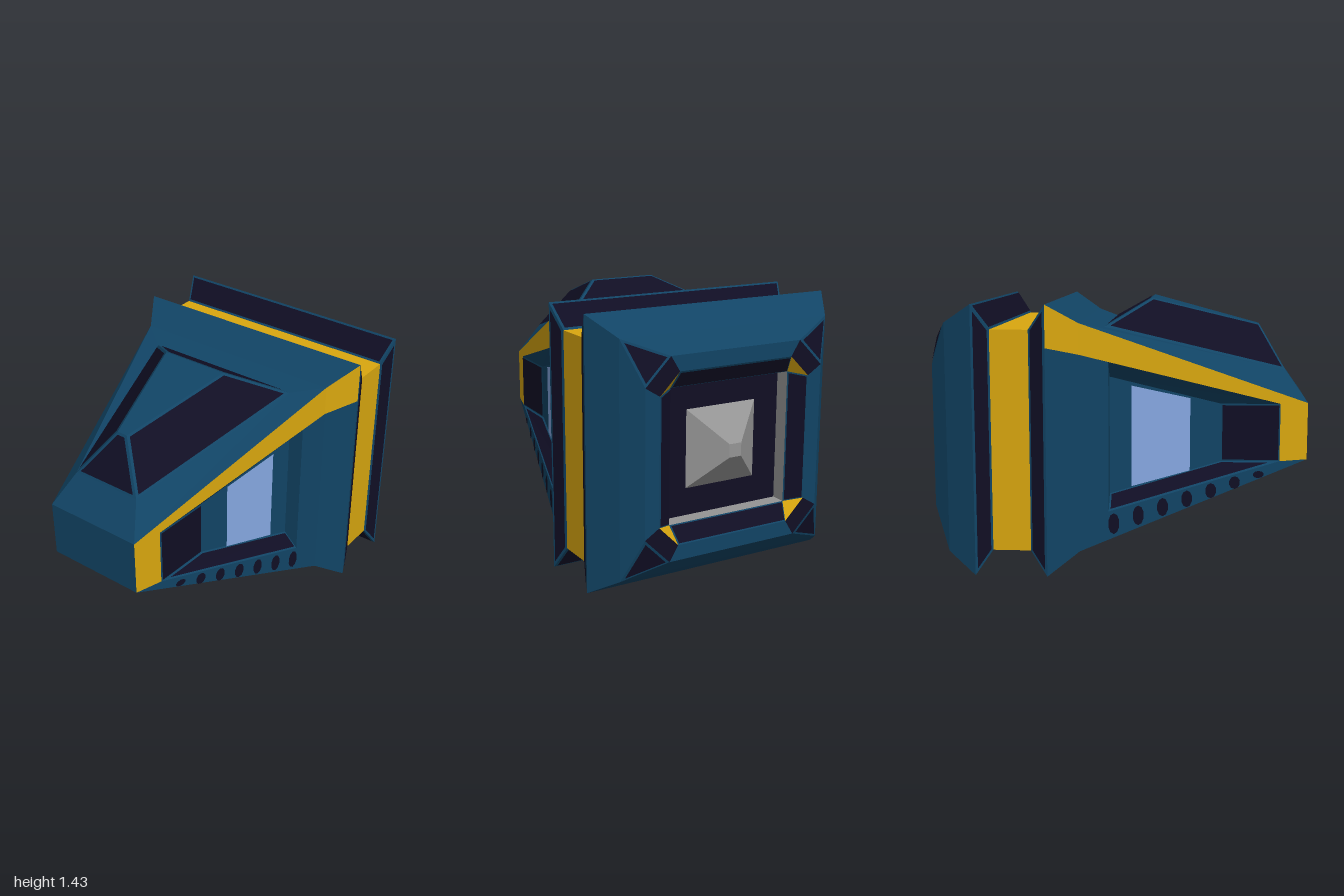
import * as THREE from 'three';

const mat = (name, color) => new THREE.MeshStandardMaterial({ name, color, flatShading: true });
const CY = 0.71; // height of the long axis

export function createModel() {
  const blue = mat('hull blue', 0x114465);
  const navy = mat('panel navy', 0x100e24);
  const yellow = mat('trim yellow', 0xd9a70f);
  const glass = mat('window blue', 0x86a8e2);
  const grey = mat('engine grey', 0x959595);
  const model = new THREE.Group();
  const V = (x, y, z) => new THREE.Vector3(x, y, z);

  // Newell normal of a polygon
  const normalOf = (pts) => {
    const n = V(0, 0, 0);
    pts.forEach((p, i) => n.add(p.clone().cross(pts[(i + 1) % pts.length])));
    return n.normalize();
  };

  // Convex polygon turned to face the hint direction
  function poly(name, material, pts, hint) {
    let p = pts.map((q) => V(...q));
    if (normalOf(p).dot(V(...hint)) < 0) p.reverse();
    const pos = [];
    for (let i = 1; i < p.length - 1; i++)
      for (const q of [p[0], p[i], p[i + 1]]) pos.push(q.x, q.y, q.z);
    const g = new THREE.BufferGeometry();
    g.setAttribute('position', new THREE.Float32BufferAttribute(pos, 3));
    g.computeVertexNormals();
    const mesh = new THREE.Mesh(g, material);
    mesh.name = name;
    model.add(mesh);
  }

  // Blue face carrying a slightly raised panel inside an even border
  function panel(name, material, pts, hint, border = 0.014) {
    poly(name + 'Frame', blue, pts, hint);
    const p = pts.map((q) => V(...q));
    const n = normalOf(p);
    if (n.dot(V(...hint)) < 0) n.negate();
    const inner = p.map((v, i) => {
      const a = p[(i + 1) % p.length].clone().sub(v).normalize();
      const b = p[(i + p.length - 1) % p.length].clone().sub(v).normalize();
      const k = border / a.clone().cross(b).length();
      return v.clone().add(a.add(b).multiplyScalar(k)).addScaledVector(n, 0.004).toArray();
    });
    poly(name, material, inner, hint);
  }

  // Hull guide lines
  const zOut = (x) => 0.28 + 0.2686 * (x + 1);
  const zIn = (x) => 0.335 + 0.25 * (x + 0.53);

  for (const s of [1, -1]) {
    const o = (x, y, lift = 0) => [x, y, s * (zOut(x) + lift)];
    const i = (x, y, lift = 0) => [x, y, s * (zIn(x) + lift)];
    const f = (y) => [0.37, y, s * 0.71];
    const out = [0, 0, s];

    // Yellow trim
    poly('noseTrim', yellow, [o(-1, 0.56), o(-0.85, 0.555), o(-0.85, 0.87), o(-1, 0.87)], out);
    poly('sideStripe', yellow, [o(-1, 0.87), o(-0.85, 0.87), o(0.21, 1.157), o(0.21, 1.32)], out);
    poly('flareStripe', yellow, [o(0.21, 1.157), f(1.2), f(1.42), o(0.21, 1.32)], out);

    // Hull side around the recess
    poly('lowerSide', blue, [o(-1, 0.56), o(-0.85, 0.555), o(0.06, 0.32), o(0.06, 0.166)], out);
    poly('rearSide', blue, [o(0.06, 0.166), o(0.21, 0.11), o(0.21, 1.157), o(0.06, 1.116)], out);
    poly('flareSide', blue, [o(0.21, 0.11), f(0), f(1.2), o(0.21, 1.157)], out);

    // Sunken side bay
    panel('bayFrontPanel', navy, [o(-0.85, 0.555), i(-0.53, 0.555), i(-0.53, 0.87), o(-0.85, 0.87)], out, 0.008);
    poly('bayFloor', blue, [i(-0.53, 0.555), i(0.06, 0.4), i(0.06, 1.03), i(-0.53, 0.87)], out);
    poly('bayOverhang', blue, [o(-0.85, 0.87), o(0.06, 1.116), i(0.06, 1.03), i(-0.53, 0.87)], [0, -1, 0]);
    panel('bayLedge', navy, [o(-0.85, 0.555), o(0.06, 0.32), i(0.06, 0.4), i(-0.53, 0.555)], [0, 1, 0], 0.01);
    poly('bayStep', blue, [o(0.06, 0.32), o(0.06, 1.116), i(0.06, 1.03), i(0.06, 0.4)], [-1, 0, 0]);
    poly('window', glass, [i(-0.365, 0.51, 0.005), i(-0.055, 0.435, 0.005), i(-0.055, 0.98, 0.005), i(-0.365, 0.905, 0.005)], out);

    // Row of growing portholes under the bay
    for (let k = 0; k < 7; k++) {
      const x = -0.735 + k * 0.128, y = 0.487 - k * 0.039;
      const ry = 0.02 + 0.037 * Math.sqrt(k / 6), ring = [];
      for (let j = 0; j < 10; j++) {
        const a = ((j + 0.5) / 10) * Math.PI * 2;
        ring.push(o(x + 0.03 * Math.cos(a), y + ry * Math.sin(a), 0.004));
      }
      poly('porthole', navy, ring, out);
    }

    // Roof shoulder and canopy side
    poly('roofSide', blue, [o(-1, 0.87), o(0.21, 1.32), [0.09, 1.29, s * 0.45], [-0.88, 1.04, s * 0.2]], [0, 1, 0]);
    panel('canopySide', navy, [[-0.88, 1.04, s * 0.2], [0.09, 1.29, s * 0.45], [-0.15, 1.43, s * 0.19], [-0.74, 1.28, s * 0.03]], [0, 1, s]);
  }

  // Faces spanning from side to side: (x, y, half width) to (x, y, half width)
  const span = (a, b) => [[a[0], a[1], a[2]], [b[0], b[1], b[2]], [b[0], b[1], -b[2]], [a[0], a[1], -a[2]]];
  poly('noseCap', blue, span([-1, 0.56, 0.28], [-1, 0.87, 0.28]), [-1, 0, 0]);
  poly('belly', blue, span([-1, 0.56, 0.28], [0.21, 0.11, 0.605]), [0, -1, 0]);
  poly('bellyFlare', blue, span([0.21, 0.11, 0.605], [0.37, 0, 0.71]), [0, -1, 0]);
  poly('roofFront', blue, span([-1, 0.87, 0.28], [-0.88, 1.04, 0.2]), [-1, 1, 0]);
  poly('roofRear', blue, span([0.09, 1.29, 0.45], [0.21, 1.32, 0.605]), [0, 1, 0]);
  poly('roofFlare', blue, span([0.21, 1.32, 0.605], [0.37, 1.42, 0.71]), [0, 1, 0]);
  panel('canopyFront', navy, span([-0.88, 1.04, 0.2], [-0.74, 1.28, 0.03]), [-1, 1, 0]);
  poly('canopyTop', blue, span([-0.74, 1.28, 0.03], [-0.15, 1.43, 0.19]), [0, 1, 0]);
  panel('canopyRear', navy, span([-0.15, 1.43, 0.19], [0.09, 1.29, 0.45]), [1, 1, 0]);

  // Square collar: x, half height, half depth
  const rings = [[0.37, 0.71, 0.71], [0.46, 0.58, 0.675], [0.66, 0.58, 0.675], [0.75, 0.71, 0.71], [0.91, 0.61, 0.61]];
  const parts = ['frontBevel', 'yellowBand', 'rearBevel', 'rearCollar'];
  for (let q = 0; q < 4; q++) {
    const c = Math.round(Math.cos(q * Math.PI / 2)), d = Math.round(Math.sin(q * Math.PI / 2));
    // u runs along the face, v points outward
    const at = (x, u, v, hy = 1, hz = 1) => [x, CY + (u * c + v * d) * hy, (v * c - u * d) * hz];
    const out = [0, d, c];
    parts.forEach((name, k) => {
      const [x0, y0, z0] = rings[k], [x1, y1, z1] = rings[k + 1];
      const pts = [at(x0, -1, 1, y0, z0), at(x0, 1, 1, y0, z0), at(x1, 1, 1, y1, z1), at(x1, -1, 1, y1, z1)];
      if (k === 1) poly(name, yellow, pts, out);
      else if (k === 3) poly(name, blue, pts, out);
      else panel(name, navy, pts, out, 0.012);
    });

    // Rear mouth: lip, cut corner, rim, bevel and inner wall
    const strip = (x0, u0, v0, x1, u1, v1) => [at(x0, -u0, v0), at(x0, u0, v0), at(x1, u1, v1), at(x1, -u1, v1)];
    const back = [1, 0, 0];
    poly('rearLip', blue, strip(0.91, 0.61, 0.61, 1, 0.38, 0.52), out);
    panel('cornerCut', navy, [at(0.91, 0.61, 0.61), at(1, 0.38, 0.52), at(1, 0.52, 0.38)], back, 0.012);
    poly('cornerRim', navy, [at(1, 0.38, 0.52), at(1, 0.52, 0.38), at(1, 0.44, 0.33), at(1, 0.33, 0.44)], back);
    poly('rearRim', blue, strip(1, 0.38, 0.52, 1, 0.33, 0.44), back);
    panel('mouthBevel', navy, strip(1, 0.33, 0.44, 0.945, 0.35, 0.35), [0, -d, -c], 0.007);
    poly('mouthCorner', yellow, [at(1, 0.33, 0.44), at(1, 0.44, 0.33), at(0.945, 0.35, 0.35)], back);
    poly('mouthWall', grey, strip(0.945, 0.35, 0.35, 0.865, 0.35, 0.35), [0, -d, -c]);
  }

  // Recess floor and blunt pyramid nozzle
  poly('mouthFloor', navy, [[0.865, CY - 0.35, 0.35], [0.865, CY + 0.35, 0.35], [0.865, CY + 0.35, -0.35], [0.865, CY - 0.35, -0.35]], [1, 0, 0]);
  const cone = new THREE.CylinderGeometry(0.035 * Math.SQRT2, 0.206 * Math.SQRT2, 0.135, 4);
  cone.rotateY(Math.PI / 4).rotateZ(-Math.PI / 2);
  const nozzle = new THREE.Mesh(cone, grey);
  nozzle.name = 'nozzle';
  nozzle.position.set(0.9325, CY, 0);
  model.add(nozzle);

  return model;
}
